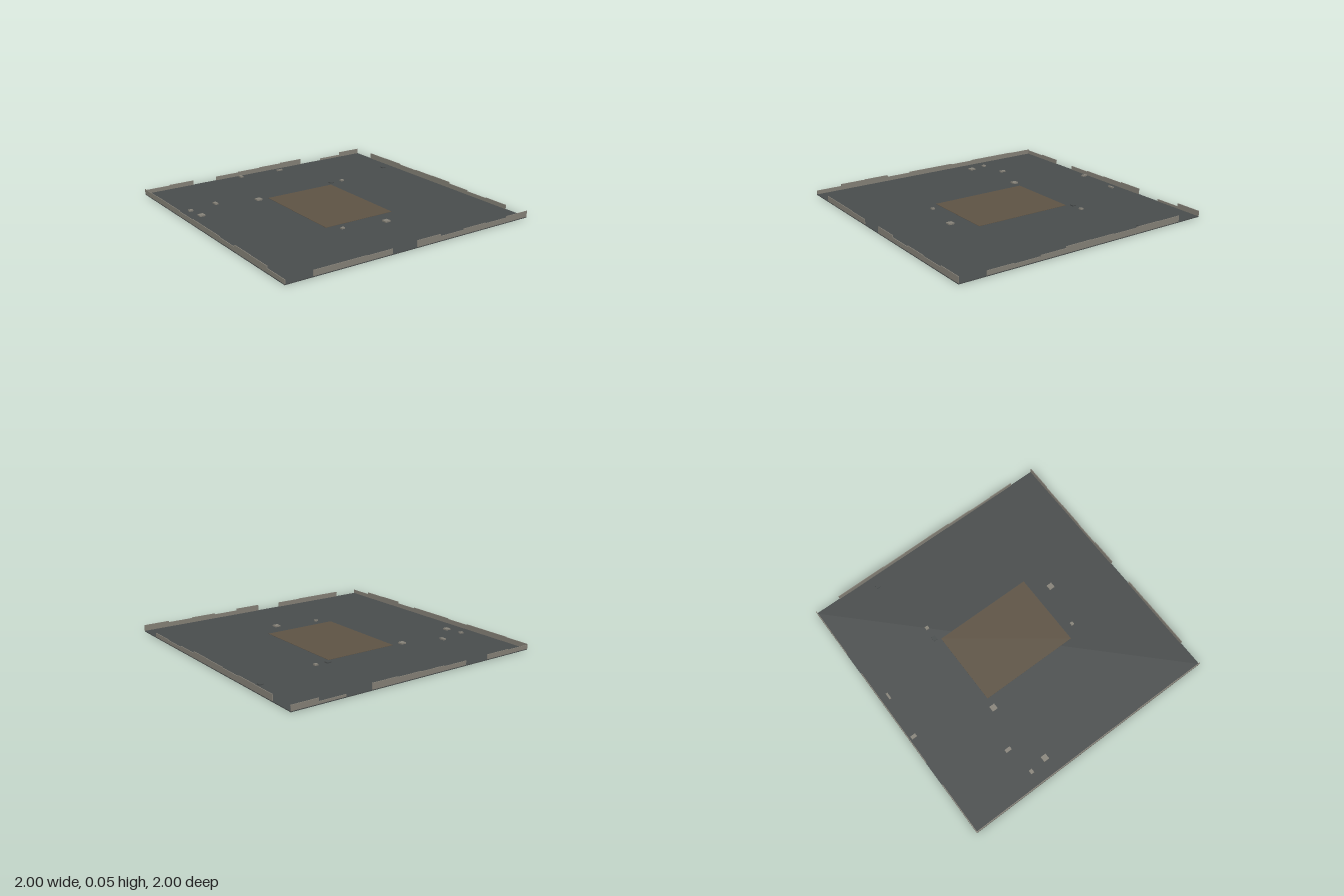
import * as THREE from 'three';

const FLOOR = 0.006; // slab thickness
const WALL = 0.005;  // wall thickness
const SEG = 0.2;     // length of one wall section

// Heights of the broken wall tops, one per section from -1 to +1 (0 = gap)
const WALLS = {
  frontWall: [0, 0.045, 0.045, 0.042, 0, 0.052, 0.037, 0.045, 0.04, 0.05],
  backWall: [0.035, 0.04, 0, 0.036, 0.041, 0.045, 0.05, 0, 0.022, 0.045],
  leftWall: [0, 0.05, 0.052, 0.046, 0.05, 0.052, 0.04, 0.032, 0.037, 0],
  rightWall: [0.042, 0.045, 0.045, 0.04, 0.045, 0.045, 0.038, 0.052, 0.05, 0.035],
};

// Rubble: x, z, width, depth
const RUBBLE = [
  [-0.195, -0.96, 0.025, 0.04], [0.155, -0.935, 0.05, 0.015],
  [-0.89, -0.45, 0.03, 0.025], [-0.67, -0.487, 0.025, 0.045],
  [-0.87, -0.317, 0.042, 0.042], [-0.365, -0.387, 0.042, 0.042],
  [0.415, -0.415, 0.025, 0.025], [-0.2, 0.457, 0.025, 0.022],
  [0.13, 0.515, 0.042, 0.042],
];
const DARK_RUBBLE = [[0.316, -0.42, 0.035, 0.03], [0.91, -0.517, 0.03, 0.03]];

function material(name, color) {
  const m = new THREE.MeshStandardMaterial({ color });
  m.name = name;
  return m;
}

export function createModel() {
  const model = new THREE.Group();
  model.name = 'ruinedRoom';
  const floorMat = material('dark slate', 0x4a4e4e);
  const wallMat = material('concrete', 0x88847a);
  const rugMat = material('faded brown', 0x5f5445);

  // Box standing on height y
  const box = (name, mat, x, y, z, w, h, d, parent = model) => {
    const mesh = new THREE.Mesh(new THREE.BoxGeometry(w, h, d), mat);
    mesh.name = name;
    mesh.position.set(x, y + h / 2, z);
    parent.add(mesh);
  };

  box('floor', floorMat, 0, 0, 0, 2, FLOOR, 2);
  box('rug', rugMat, 0, FLOOR, 0, 0.57, 0.002, 0.76);

  // Crumbling walls around the four edges
  for (const [name, heights] of Object.entries(WALLS)) {
    const wall = new THREE.Group();
    wall.name = name;
    const alongX = name === 'frontWall' || name === 'backWall';
    const edge = (name === 'frontWall' || name === 'leftWall' ? 1 : -1) * (1 - WALL / 2);
    heights.forEach((top, i) => {
      if (!top) return;
      const mid = -1 + SEG * (i + 0.5);
      const h = top - FLOOR;
      if (alongX) box('wallSection', wallMat, mid, FLOOR, edge, SEG, h, WALL, wall);
      else box('wallSection', wallMat, edge, FLOOR, mid, WALL, h, SEG, wall);
    });
    model.add(wall);
  }

  // Scattered rubble
  for (const [x, z, w, d] of RUBBLE) box('rubble', wallMat, x, FLOOR, z, w, 0.01, d);
  for (const [x, z, w, d] of DARK_RUBBLE) box('darkRubble', floorMat, x, FLOOR, z, w, 0.008, d);

  return model;
}
